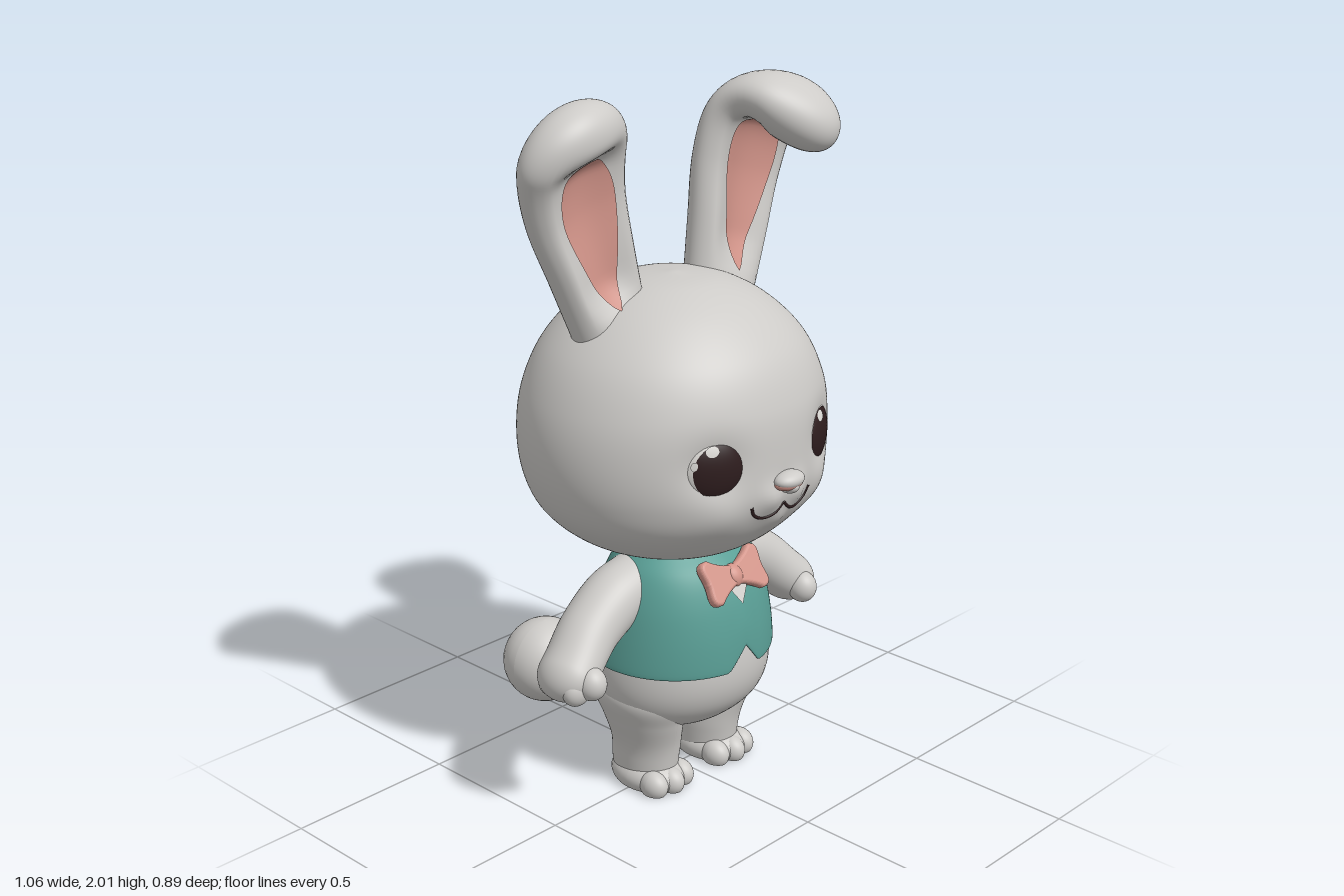
import * as THREE from 'three';
import { mergeVertices } from 'three/addons/utils/BufferGeometryUtils.js';

const V = (x, y, z) => new THREE.Vector3(x, y, z);
const mat = (name, color, side = THREE.FrontSide) => {
  const m = new THREE.MeshStandardMaterial({ color, side });
  m.name = name;
  return m;
};

export function createModel() {
  const fur = mat('grey fur', 0xcdcbc8);
  const pink = mat('pink', 0xd3958a, THREE.DoubleSide);
  const teal = mat('teal cloth', 0x5a9f96, THREE.DoubleSide);
  const dark = mat('dark brown', 0x2e1d1e);
  const light = mat('pale grey', 0xd9d7d3, THREE.DoubleSide);
  const model = new THREE.Group();
  model.name = 'rabbit';

  const add = (name, geometry, material, parent = model) => {
    const mesh = new THREE.Mesh(geometry, material);
    mesh.name = name;
    parent.add(mesh);
    return mesh;
  };

  // Grid surface from a rule: u runs along the part, v runs around it
  const surface = (fn, nu, nv) => {
    const pos = [], idx = [];
    for (let i = 0; i <= nu; i++)
      for (let j = 0; j <= nv; j++) pos.push(...fn(i / nu, j / nv).toArray());
    for (let i = 0; i < nu; i++)
      for (let j = 0; j < nv; j++) {
        const a = i * (nv + 1) + j, c = a + nv + 1;
        idx.push(a, a + 1, c, a + 1, c + 1, c);
      }
    const raw = new THREE.BufferGeometry();
    raw.setAttribute('position', new THREE.Float32BufferAttribute(pos, 3));
    raw.setIndex(idx);
    const g = mergeVertices(raw, 1e-5);
    g.computeVertexNormals();
    return g;
  };

  // Stacked ellipses, rows of [y, half width, front z, back z]
  const loft = (rows, edit = p => p, nu = 48, nv = 64) => {
    const cx = new THREE.CatmullRomCurve3(rows.map(r => V(r[1], r[0], 0)), false, 'catmullrom');
    const cz = new THREE.CatmullRomCurve3(rows.map(r => V(r[2], r[0], r[3])), false, 'catmullrom');
    return surface((u, v) => {
      const a = cx.getPoint(u), b = cz.getPoint(u), t = v * Math.PI * 2;
      const p = V(a.x * Math.sin(t), a.y, (b.x + b.z) / 2 + (b.x - b.z) / 2 * Math.cos(t));
      return edit(p, u, t);
    }, nu, nv);
  };

  // Ellipsoid resting no lower than the ground
  const ball = (name, material, c, r) => {
    const g = new THREE.SphereGeometry(1, 32, 20).scale(...r).translate(...c);
    const p = g.attributes.position;
    for (let i = 0; i < p.count; i++) p.setY(i, Math.max(0, p.getY(i)));
    g.computeVertexNormals();
    return add(name, g, material);
  };

  // Swept limb: stations of [x, y, z, half width, half depth] with a rounded tip
  const sweep = (stations, across, roundFrom, groove) => {
    const path = new THREE.CatmullRomCurve3(stations.map(p => V(p[0], p[1], p[2])), false, 'catmullrom');
    const size = new THREE.CatmullRomCurve3(stations.map(p => V(p[3], p[4], 0)), false, 'catmullrom');
    return (s, t, lift = 0) => {
      const T = path.getTangent(s);
      const S = across.clone().addScaledVector(T, -across.dot(T)).normalize();
      const N = S.clone().cross(T);
      const k = s > roundFrom ? Math.sqrt(Math.max(0, 1 - ((s - roundFrom) / (1 - roundFrom)) ** 2)) : 1;
      const r = size.getPoint(s);
      let depth = Math.cos(t);
      if (depth > 0) depth *= 1 - groove(s) * Math.max(0, 1 - (Math.sin(t) / 0.78) ** 2);
      return path.getPoint(s).addScaledVector(S, r.x * k * Math.sin(t)).addScaledVector(N, r.y * k * depth + lift);
    };
  };
  const skin = limb => surface((u, v) => limb(Math.sin(u * Math.PI / 2), v * Math.PI * 2), 48, 48);

  // Head, with soft relief for eye sockets, cheeks, muzzle and chin: [x, y, radius, push]
  const relief = [
    [0.215, 1.07, 0.075, -0.024], [0.2, 0.93, 0.075, 0.016], [0.048, 0.955, 0.045, 0.022], [0, 0.885, 0.035, 0.012],
  ];
  const head = add('head', loft([
    [0.7, 0, -0.03, -0.03], [0.718, 0.15, 0.13, -0.18], [0.77, 0.285, 0.25, -0.29],
    [0.86, 0.395, 0.345, -0.375], [0.96, 0.443, 0.385, -0.42], [1.08, 0.455, 0.392, -0.432],
    [1.2, 0.432, 0.38, -0.42], [1.32, 0.37, 0.33, -0.37], [1.42, 0.265, 0.23, -0.28],
    [1.48, 0.14, 0.11, -0.17], [1.5, 0, -0.02, -0.02],
  ], p => {
    if (p.z > 0)
      for (const [x, y, r, push] of relief)
        p.z += push * Math.exp(-((Math.abs(p.x) - x) ** 2 + (p.y - y) ** 2) / (r * r));
    return p;
  }, 96, 160), fur);
  const ray = new THREE.Raycaster();
  const onFace = (x, y) => {
    ray.set(V(x, y, 2), V(0, 0, -1));
    return ray.intersectObject(head)[0].point;
  };

  // Ears: one upright, one with its tip folded forward
  const smooth = THREE.MathUtils.smoothstep;
  const ears = [
    { name: 'rightEar', lean: 0.3, end: 0.76, round: 0.72, pts: [
      [-0.205, 1.36, -0.05, 0.115, 0.082], [-0.262, 1.56, -0.066, 0.14, 0.086], [-0.308, 1.73, -0.076, 0.167, 0.085],
      [-0.338, 1.87, -0.05, 0.182, 0.095], [-0.365, 1.985, 0.025, 0.175, 0.115]] },
    { name: 'leftEar', lean: -0.3, end: 0.7, round: 0.75, pts: [
      [0.205, 1.36, -0.05, 0.115, 0.082], [0.265, 1.56, -0.066, 0.14, 0.086], [0.315, 1.74, -0.076, 0.165, 0.082],
      [0.345, 1.87, -0.045, 0.17, 0.08], [0.365, 1.91, 0.05, 0.16, 0.09], [0.4, 1.82, 0.2, 0.145, 0.12]] },
  ];
  for (const e of ears) {
    const limb = sweep(e.pts, V(0.95, e.lean, 0), e.round,
      s => 0.72 * smooth(s, 0.02, 0.2) * (1 - smooth(s, e.end - 0.12, e.end + 0.16)));
    add(e.name, skin(limb), fur);
    add(e.name + 'Lining', surface((u, v) => {
      const half = 0.58 * Math.sqrt(Math.max(0, Math.sin(Math.PI * u ** 1.25)));
      return limb(0.09 + (e.end - 0.09) * u, Math.asin((v * 2 - 1) * half), 0.005);
    }, 32, 16), pink);
  }

  // Eyes: ball, iris and two glints as thin caps
  const cap = (angle, turnX, turnY, grow) => new THREE.SphereGeometry(grow, 32, 12, 0, Math.PI * 2, 0, angle)
    .rotateX(Math.PI / 2).rotateX(turnX).rotateY(turnY).scale(0.084, 0.086, 0.036);
  for (const s of [-1, 1]) {
    const eye = new THREE.Group();
    eye.name = s < 0 ? 'rightEye' : 'leftEye';
    eye.position.copy(onFace(s * 0.205, 1.067));
    eye.position.z -= 0.012;
    eye.rotation.y = s * 0.5;
    model.add(eye);
    add('eyeball', cap(Math.PI, 0, 0, 1), light, eye);
    add('iris', cap(0.97, 0, -s * 0.22, 1.04), dark, eye);
    const glints = s < 0 ? [[-0.1, 0.7, 0.2], [-0.7, 0.25, 0.13]] : [[-0.5, 0.68, 0.2], [0.5, 0.32, 0.13]];
    for (const [x, y, r] of glints) add('glint', cap(r, -y, x, 1.09), light, eye);
  }

  // Nose and mouth
  ball('nose', fur, [0, 1.007, 0.405], [0.05, 0.024, 0.036]);
  ball('noseTip', fur, [0, 0.99, 0.405], [0.026, 0.022, 0.032]);
  ball('noseUnderside', pink, [0, 0.999, 0.403], [0.049, 0.022, 0.034]);
  for (const s of [-1, 1]) {
    const smile = [[0.115, 0.95], [0.1, 0.922], [0.065, 0.905], [0.03, 0.912], [0, 0.937]];
    const curve = new THREE.CatmullRomCurve3(smile.map(([x, y]) => onFace(s * x, y)));
    add('mouthLine', new THREE.TubeGeometry(curve, 32, 0.0045, 8), dark);
  }

  // Body
  add('body', loft([
    [0.165, 0, -0.02, -0.02], [0.185, 0.12, 0.1, -0.12], [0.23, 0.215, 0.18, -0.19], [0.3, 0.262, 0.236, -0.235],
    [0.4, 0.274, 0.254, -0.26], [0.55, 0.248, 0.232, -0.215], [0.66, 0.21, 0.19, -0.17], [0.74, 0.15, 0.12, -0.12],
  ]), fur);
  ball('tail', fur, [-0.225, 0.308, -0.325], [0.125, 0.125, 0.122]);
  ball('tailRoot', fur, [-0.14, 0.31, -0.22], [0.06, 0.05, 0.06]);

  // Waistcoat with a notch at the front of the hem
  add('waistcoat', loft([
    [0.41, 0.272, 0.25, -0.258], [0.405, 0.284, 0.262, -0.27], [0.5, 0.272, 0.256, -0.245],
    [0.6, 0.25, 0.235, -0.208], [0.68, 0.218, 0.2, -0.173], [0.735, 0.175, 0.145, -0.135],
  ], (p, u, t) => {
    const fade = Math.min(1, (1 - u) / 0.8) ** 2;
    const notch = Math.cos(t) > 0 ? 0.07 * Math.max(0, 1 - Math.abs(p.x) / 0.06) : 0;
    p.y += fade * (notch + 0.008 * (1 - Math.cos(t)));
    return p;
  }, 30, 160), teal);
  add('waistcoatSeam', new THREE.TubeGeometry(new THREE.CatmullRomCurve3([
    V(0, 0.478, 0.258), V(0, 0.54, 0.25), V(0, 0.6, 0.236)]), 12, 0.005, 8), teal);
  const collar = new THREE.Shape([new THREE.Vector2(-0.04, 0.03), new THREE.Vector2(0, -0.03), new THREE.Vector2(0.04, 0.03)]);
  const shirt = add('shirtFront', new THREE.ShapeGeometry(collar), light);
  shirt.position.set(0, 0.62, 0.238);
  shirt.rotation.x = -0.33;

  // Bow tie
  const bow = new THREE.Group();
  bow.name = 'bowTie';
  bow.position.set(0, 0.667, 0.209);
  bow.rotation.x = -0.55;
  model.add(bow);
  const wing = new THREE.Shape();
  wing.moveTo(0.012, -0.02);
  wing.quadraticCurveTo(0.05, -0.03, 0.085, -0.055);
  wing.bezierCurveTo(0.12, -0.06, 0.095, -0.015, 0.1, 0);
  wing.bezierCurveTo(0.095, 0.015, 0.12, 0.06, 0.085, 0.055);
  wing.quadraticCurveTo(0.05, 0.03, 0.012, 0.02);
  for (const s of [0, 1]) {
    const g = new THREE.ExtrudeGeometry(wing, { depth: 0.008, bevelSize: 0.01, bevelThickness: 0.012, bevelSegments: 5, curveSegments: 10 });
    add('bowWing', g.translate(0, 0, -0.004).rotateZ(s * Math.PI), pink, bow);
  }
  add('bowKnot', new THREE.SphereGeometry(1, 24, 16).scale(0.029, 0.034, 0.024), pink, bow);

  // Arms, hands, legs and feet
  for (const s of [-1, 1]) {
    const side = s < 0 ? 'right' : 'left';
    add(side + 'Arm', skin(sweep([
      [s * 0.15, 0.65, -0.012, 0.075, 0.085], [s * 0.25, 0.61, -0.012, 0.088, 0.09], [s * 0.35, 0.55, -0.005, 0.083, 0.087],
      [s * 0.43, 0.482, 0.012, 0.076, 0.088], [s * 0.515, 0.41, 0.03, 0.07, 0.095],
    ], V(0.7, s * 0.7, 0), 0.82, () => 0)), fur);
    for (const z of [-0.025, 0.022, 0.068])
      ball(side + 'Finger', fur, [s * 0.472, 0.435, z], [0.045, 0.045, 0.034]);
    ball(side + 'Thumb', fur, [s * 0.44, 0.452, 0.092], [0.042, 0.048, 0.046]);

    add(side + 'Leg', loft([
      [0.02, 0.08, 0.09, -0.115], [0.07, 0.084, 0.094, -0.12], [0.14, 0.09, 0.106, -0.12],
      [0.22, 0.104, 0.13, -0.14], [0.3, 0.115, 0.15, -0.165], [0.38, 0.08, 0.1, -0.1],
    ], p => p.setX(p.x + s * (0.126 + 0.04 * smooth(p.y, 0.1, 0.32) * (p.x * s > 0 ? 0.6 : 1)))), fur);
    ball(side + 'Foot', fur, [s * 0.13, 0.028, 0.002], [0.091, 0.06, 0.122]);
    for (const x of [-0.053, 0, 0.053])
      ball(side + 'Toe', fur, [s * 0.13 + x, 0.026, x ? 0.076 : 0.09], [0.036, 0.042, 0.047]);
  }
  return model;
}
